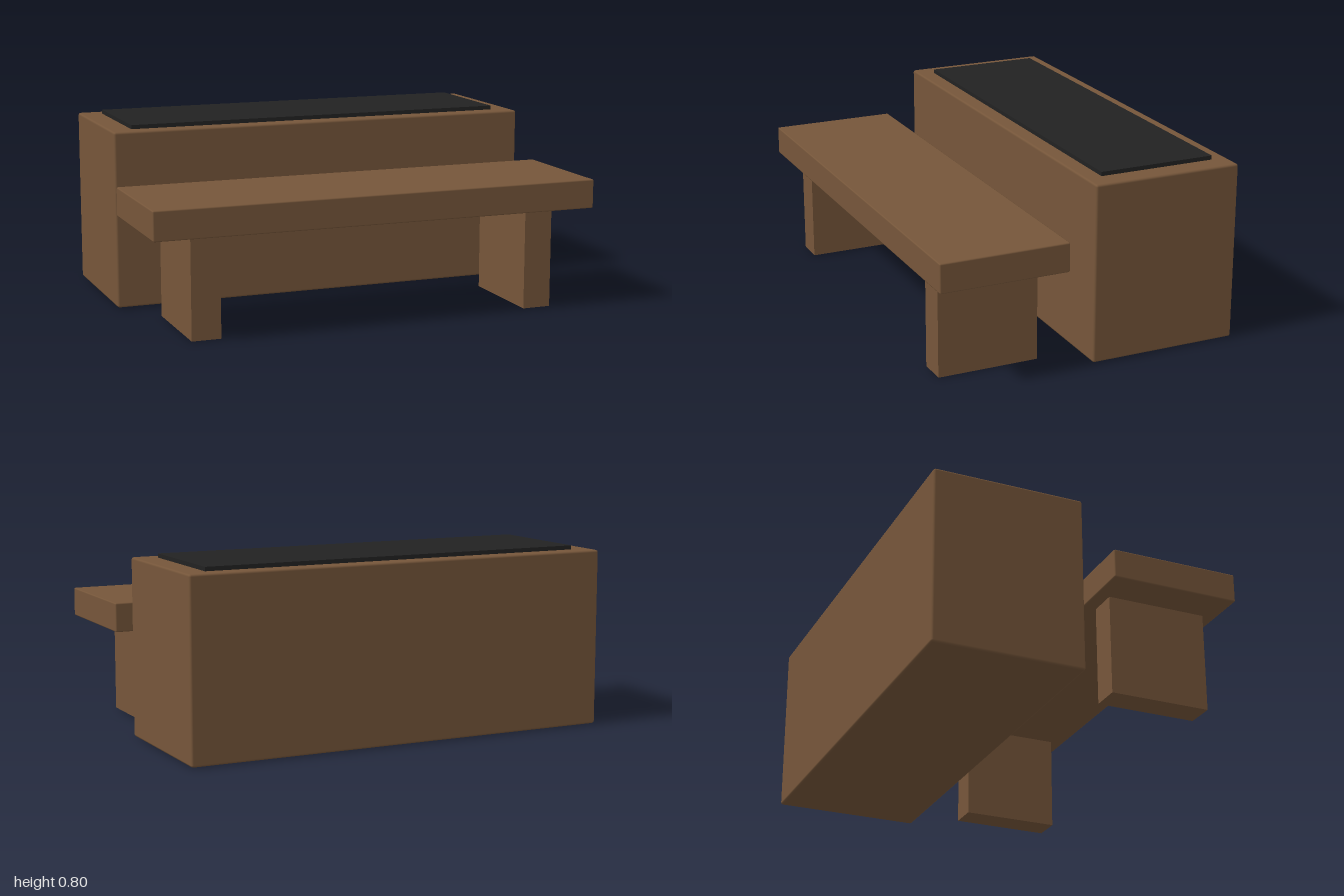
import * as THREE from 'three';
import { RoundedBoxGeometry } from 'three/addons/geometries/RoundedBoxGeometry.js';

const wood = new THREE.MeshStandardMaterial({ color: 0x76563a });
wood.name = 'brownWood';
const dark = new THREE.MeshStandardMaterial({ color: 0x222222 });
dark.name = 'blackTop';

// Box given by its limits on each axis, with an optional small edge bevel
function block(name, material, [x0, x1], [y0, y1], [z0, z1], bevel = 0) {
  const size = [x1 - x0, y1 - y0, z1 - z0];
  const geometry = bevel
    ? new RoundedBoxGeometry(...size, 1, bevel)
    : new THREE.BoxGeometry(...size);
  const mesh = new THREE.Mesh(geometry, material);
  mesh.name = name;
  mesh.position.set((x0 + x1) / 2, (y0 + y1) / 2, (z0 + z1) / 2);
  return mesh;
}

export function createModel() {
  const model = new THREE.Group();
  model.name = 'tableAndBench';

  // Solid cabinet with a dark inset panel on top
  const cabinet = new THREE.Group();
  cabinet.name = 'cabinet';
  cabinet.add(
    block('cabinetBody', wood, [-0.972, 0.972], [0.003, 0.785], [-0.683, -0.015], 0.01),
    block('topPanel', dark, [-0.875, 0.875], [0.775, 0.803], [-0.61, -0.088])
  );

  // Bench in front: thick seat on two slab legs
  const bench = new THREE.Group();
  bench.name = 'bench';
  bench.add(block('seat', wood, [-1, 1], [0.442, 0.57], [0.113, 0.685], 0.006));
  for (const side of [-1, 1]) {
    const x = side * 0.763;
    const name = side > 0 ? 'leftLeg' : 'rightLeg';
    bench.add(block(name, wood, [x - 0.064, x + 0.064], [0, 0.445], [0.175, 0.623]));
  }

  model.add(cabinet, bench);
  return model;
}
